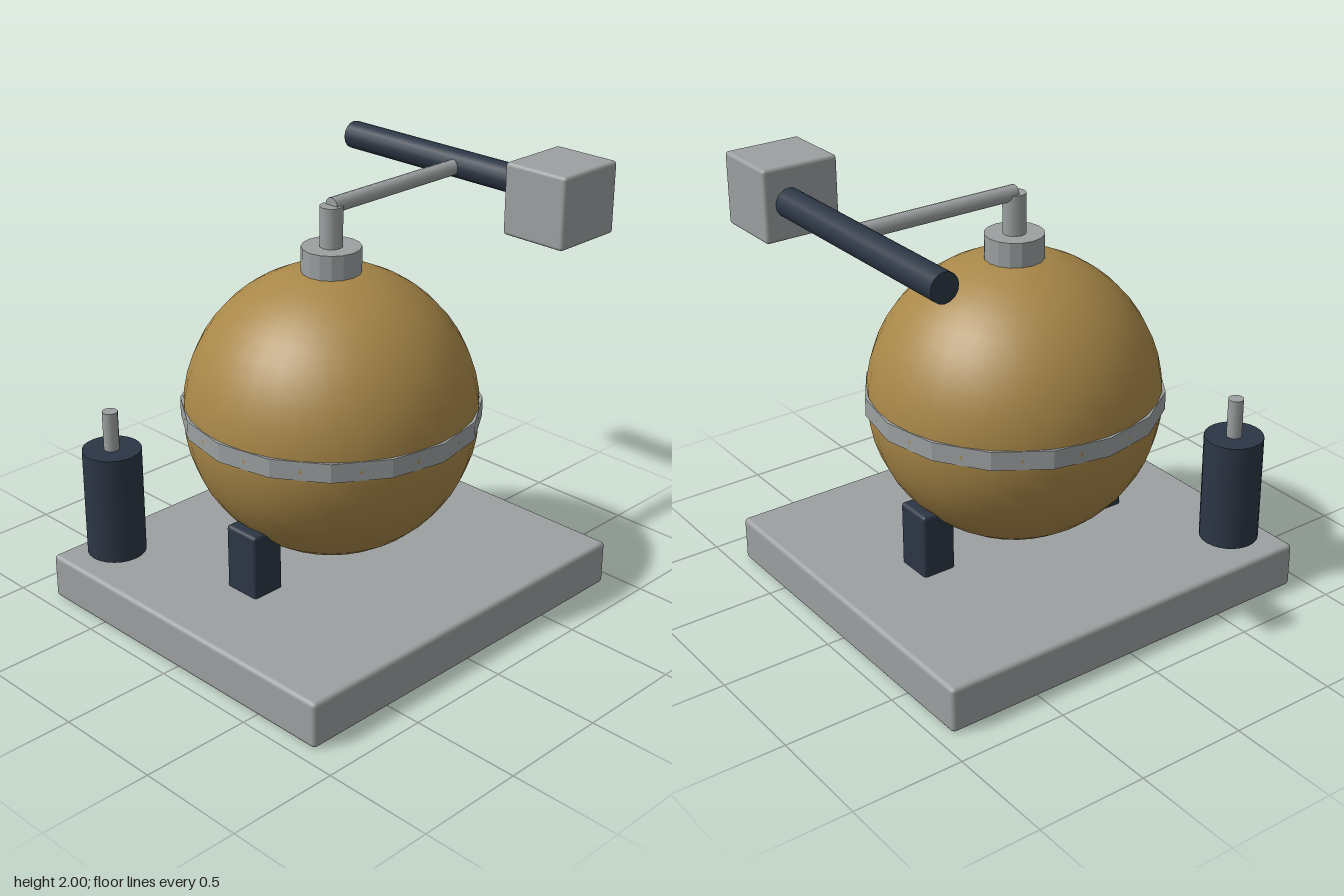
import * as THREE from 'three';
import { RoundedBoxGeometry } from 'three/addons/geometries/RoundedBoxGeometry.js';
import { toCreasedNormals } from 'three/addons/utils/BufferGeometryUtils.js';

export function createModel() {
  const model = new THREE.Group();
  model.name = 'sphereMachine';

  const material = (name, color) => {
    const m = new THREE.MeshStandardMaterial({ color });
    m.name = name;
    return m;
  };
  const gold = material('bronze', 0xa88748);
  const grey = material('steelGrey', 0x9ca0a0);
  const navy = material('darkNavy', 0x2c3645);

  const add = (name, geometry, mat, x, y, z) => {
    const mesh = new THREE.Mesh(geometry, mat);
    mesh.name = name;
    mesh.position.set(x, y, z);
    model.add(mesh);
    return mesh;
  };
  const box = (w, h, d, r) => new RoundedBoxGeometry(w, h, d, 2, r);
  const rod = (r, length, sides) => new THREE.CylinderGeometry(r, r, length, sides);

  // Base plate and the two cradle feet
  add('base', box(1.68, 0.21, 1.86, 0.02), grey, 0, 0.105, 0);
  for (const [name, side] of [['frontFoot', 1], ['backFoot', -1]]) {
    add(name, box(0.18, 0.32, 0.16, 0.016), navy, 0, 0.347, side * 0.47);
  }

  // Sphere with a faceted belt
  add('sphere', new THREE.SphereGeometry(0.648, 32, 24), gold, 0, 0.918, 0);
  const belt = toCreasedNormals(rod(0.66, 0.085, 16), 0.3);
  add('belt', belt, grey, 0, 0.922, 0);

  // Neck, stem and arm reaching to the back
  add('neck', toCreasedNormals(rod(0.13, 0.14, 16), 0.3), grey, 0, 1.592, 0);
  add('stem', rod(0.051, 0.2, 12), grey, 0, 1.74, 0);
  const arm = add('arm', rod(0.035, 0.79, 12), grey, 0, 1.84, -0.395);
  arm.rotation.x = Math.PI / 2;

  // Cross tube ending in a block
  const tube = add('crossTube', rod(0.064, 1.2, 16), navy, -0.07, 1.842, -0.815);
  tube.rotation.z = Math.PI / 2;
  add('endBlock', box(0.32, 0.32, 0.35, 0.016), grey, 0.605, 1.84, -0.755);

  // Motor with its shaft
  add('motor', rod(0.132, 0.5, 24), navy, -0.638, 0.492, 0.724);
  add('motorShaft', rod(0.035, 0.2, 12), grey, -0.638, 0.822, 0.724);

  return model;
}
